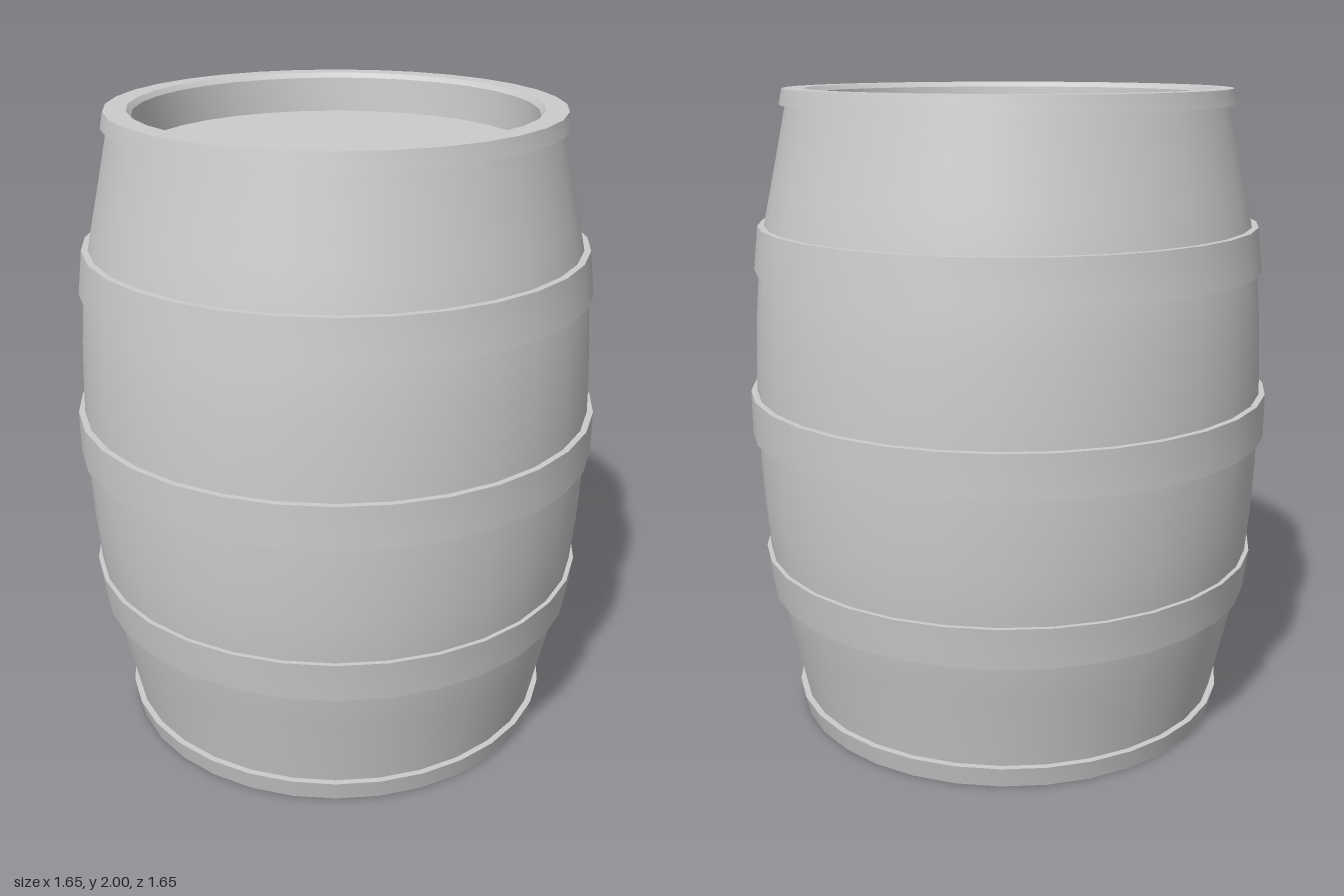
import * as THREE from 'three';
import { toCreasedNormals } from 'three/addons/utils/BufferGeometryUtils.js';

const SIDES = 32;
const material = new THREE.MeshStandardMaterial({ color: 0xcccccc });

// Lathe a list of [radius, height] pairs, keeping hard edges sharp
function turned(name, profile) {
  const points = profile.map(([r, y]) => new THREE.Vector2(r, y));
  const geometry = toCreasedNormals(new THREE.LatheGeometry(points, SIDES), 0.5);
  const mesh = new THREE.Mesh(geometry, material);
  mesh.name = name;
  return mesh;
}

// Bulging stave outline, symmetric about mid-height: [distance from middle, radius]
const bulge = [[0, 0.805], [0.15, 0.802], [0.3, 0.795], [0.45, 0.782], [0.6, 0.758],
  [0.7, 0.736], [0.8, 0.714], [0.95, 0.682], [1, 0.672]];

function staveRadius(y) {
  const d = Math.abs(y - 1);
  for (let i = 1; i < bulge.length; i++) {
    const [d0, r0] = bulge[i - 1], [d1, r1] = bulge[i];
    if (d <= d1 + 1e-6) return r0 + (r1 - r0) * (d - d0) / (d1 - d0);
  }
  return bulge[bulge.length - 1][1];
}

// Closed ring wrapped around the staves
function hoop(name, y0, r0, y1, r1) {
  const i0 = staveRadius(y0) - 0.002, i1 = staveRadius(y1) - 0.002;
  return turned(name, [[i0, y0], [r0, y0], [r1, y1], [i1, y1]]);
}

export function createModel() {
  const barrel = new THREE.Group();
  barrel.name = 'barrel';

  // Body: flat base, bulging wall, rim with a softened inner edge, sunken lid
  const wall = [
    ...bulge.slice(1).reverse().map(([d, r]) => [r, 1 - d]),
    ...bulge.map(([d, r]) => [r, 1 + d]),
  ];
  barrel.add(turned('body', [[0, 0], ...wall,
    [0.622, 2], [0.608, 1.985], [0.6, 1.875]]));

  // Sunken lid
  const lid = new THREE.Mesh(new THREE.CircleGeometry(0.6, SIDES), material);
  lid.name = 'lid';
  lid.rotation.x = -Math.PI / 2;
  lid.position.y = 1.875;
  barrel.add(lid);

  // Hoops from bottom to top
  barrel.add(
    hoop('bottomHoop', 0, 0.69, 0.065, 0.705),
    hoop('lowerHoop', 0.42, 0.78, 0.55, 0.796),
    hoop('middleHoop', 0.935, 0.823, 1.07, 0.823),
    hoop('upperHoop', 1.455, 0.796, 1.59, 0.78),
    hoop('topHoop', 1.952, 0.7, 2, 0.69),
  );
  return barrel;
}
